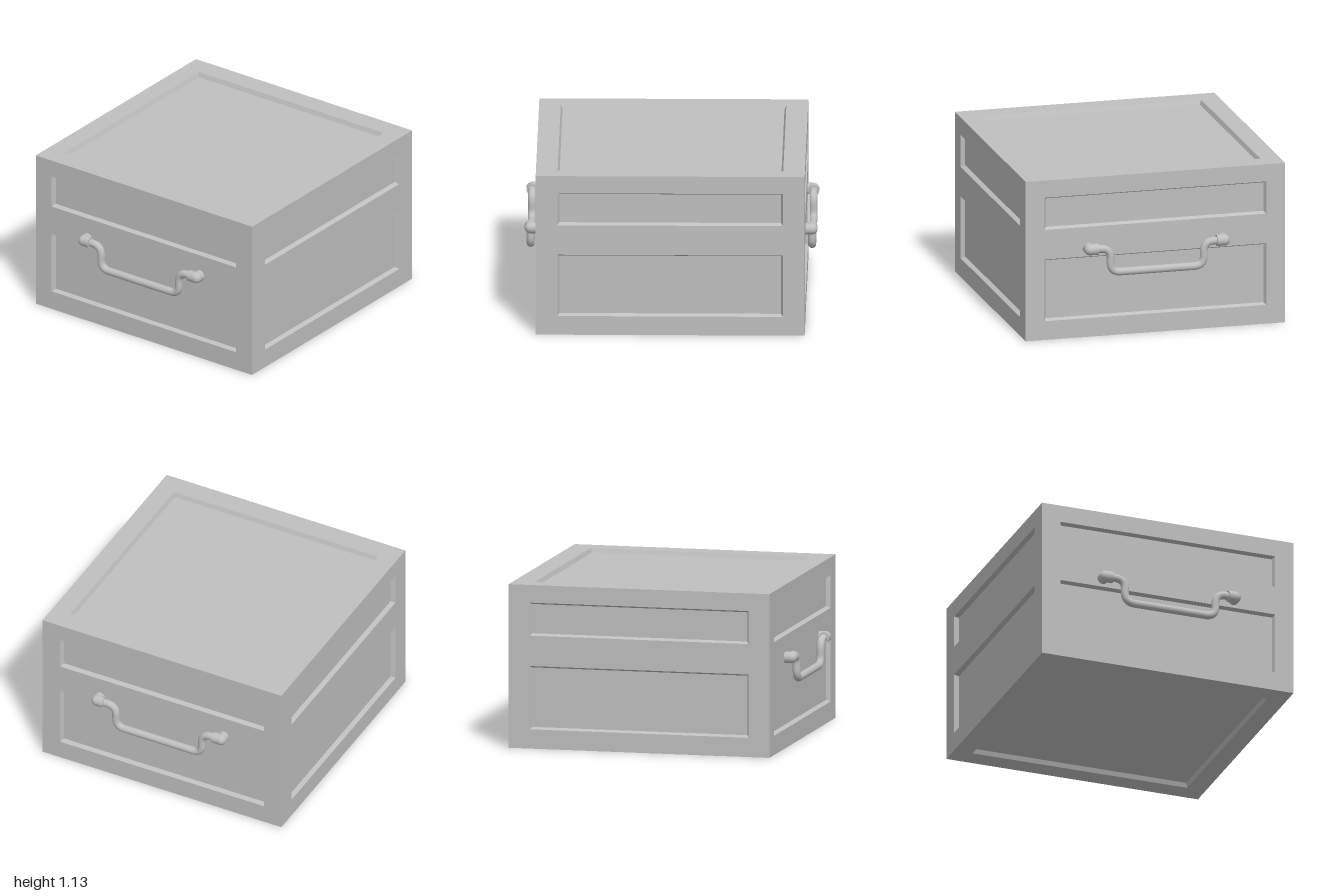
import * as THREE from 'three';

const HALF = 0.918, HEIGHT = 1.13;  // crate body
const DEPTH = 0.03, BEVEL = 0.013;  // panel recess

const metal = new THREE.MeshStandardMaterial({ color: 0xbfbfbf });
metal.name = 'grey';

function named(geometry, name) {
  const mesh = new THREE.Mesh(geometry, metal);
  mesh.name = name;
  return mesh;
}

const rect = (x0, y0, x1, y1) => [[x0, y0], [x1, y0], [x1, y1], [x0, y1]];
const toPoints = (corners) => corners.map(([x, y]) => new THREE.Vector2(x, y));

// Sunken panel: four sloping walls and a floor
function recess([x0, y0, x1, y1]) {
  const outer = rect(x0, y0, x1, y1).map(([x, y]) => [x, y, 0]);
  const inner = rect(x0 + BEVEL, y0 + BEVEL, x1 - BEVEL, y1 - BEVEL).map(([x, y]) => [x, y, -DEPTH]);
  const pos = [];
  const quad = (a, b, c, d) => pos.push(...a, ...b, ...c, ...a, ...c, ...d);
  for (let i = 0; i < 4; i++) {
    const j = (i + 1) % 4;
    quad(outer[i], outer[j], inner[j], inner[i]);
  }
  quad(...inner);
  const g = new THREE.BufferGeometry();
  g.setAttribute('position', new THREE.Float32BufferAttribute(pos, 3));
  g.computeVertexNormals();
  return g;
}

// One crate face: a flat frame with openings, plus its sunken panels
function crateFace(name, y0, y1, panels) {
  const face = new THREE.Group();
  face.name = name;
  const shape = new THREE.Shape(toPoints(rect(-HALF, y0, HALF, y1)));
  panels.forEach((p) => shape.holes.push(new THREE.Path(toPoints(rect(...p)))));
  face.add(named(new THREE.ShapeGeometry(shape), name + 'Frame'));
  panels.forEach((p) => face.add(named(recess(p), name + 'Panel')));
  return face;
}

// Drop handle for the +x side
function makeHandle(name) {
  const handle = new THREE.Group();
  handle.name = name;
  const X = 0.961, TOP = 0.629, LOW = 0.459, R = 0.039, capZ = 0.476, dropZ = 0.33, bend = 0.07;

  // Bent bar with rounded corners
  const corners = [[TOP, 0.45], [TOP, dropZ], [LOW, dropZ], [LOW, -dropZ], [TOP, -dropZ], [TOP, -0.45]]
    .map(([y, z]) => new THREE.Vector3(X, y, z));
  const path = new THREE.CurvePath();
  let from = corners[0];
  for (let i = 1; i < corners.length - 1; i++) {
    const c = corners[i];
    const a = c.clone().add(corners[i - 1].clone().sub(c).setLength(bend));
    const b = c.clone().add(corners[i + 1].clone().sub(c).setLength(bend));
    path.add(new THREE.LineCurve3(from, a));
    path.add(new THREE.QuadraticBezierCurve3(a, c, b));
    from = b;
  }
  path.add(new THREE.LineCurve3(from, corners[corners.length - 1]));
  handle.add(named(new THREE.TubeGeometry(path, 100, 0.027, 16), 'handleBar'));

  // Rounded elbow mounts joining the bar to the wall
  for (const s of [1, -1]) {
    const stem = named(new THREE.CylinderGeometry(R, R, 0.061, 16), 'mountStem');
    stem.rotation.z = Math.PI / 2;
    stem.position.set(X - 0.0305, TOP, s * capZ);
    const knuckle = named(new THREE.SphereGeometry(R, 16, 12), 'mountKnuckle');
    knuckle.position.set(X, TOP, s * capZ);
    const sleeve = named(new THREE.CylinderGeometry(R, R, 0.056, 16), 'mountSleeve');
    sleeve.rotation.x = Math.PI / 2;
    sleeve.position.set(X, TOP, s * (capZ - 0.028));
    handle.add(stem, knuckle, sleeve);
  }
  return handle;
}

export function createModel() {
  const model = new THREE.Group();
  model.name = 'crate';

  // Four walls, each with a short upper and a tall lower panel
  ['front', 'left', 'back', 'right'].forEach((name, i) => {
    const w = i % 2 ? 0.784 : 0.77;
    const wall = crateFace(name, 0, HEIGHT, [[-w, 0.78, w, 1.008], [-w, 0.133, w, 0.57]]);
    wall.rotation.y = i * Math.PI / 2;
    wall.children.forEach((m) => { m.position.z = HALF; });
    model.add(wall);
  });

  // Lid and base, each with one large panel
  for (const s of [1, -1]) {
    const plate = crateFace(s > 0 ? 'lid' : 'base', -HALF, HALF, [[-0.77, -0.784, 0.77, 0.784]]);
    plate.rotation.x = -s * Math.PI / 2;
    plate.position.y = s > 0 ? HEIGHT : 0;
    model.add(plate);
  }

  // Handles on both sides
  const leftHandle = makeHandle('leftHandle');
  const rightHandle = makeHandle('rightHandle');
  rightHandle.rotation.y = Math.PI;
  model.add(leftHandle, rightHandle);

  return model;
}
